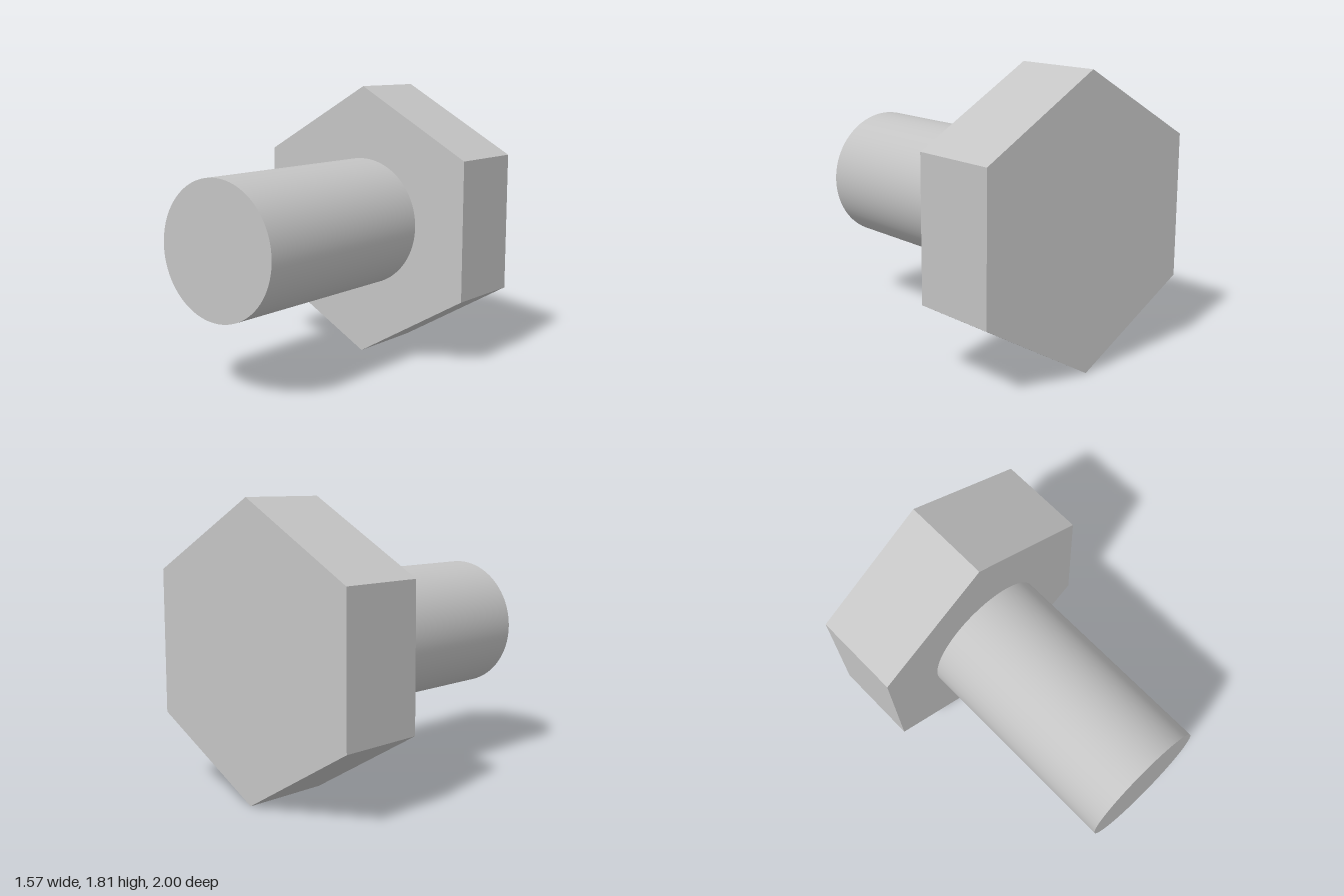
import * as THREE from 'three';

const HEAD_RADIUS = 0.907;   // centre to corner
const SHANK_RADIUS = 0.427;
const BACK = -1, SEAT = -0.43, TIP = 1;   // z positions along the bolt

export function createModel() {
  const steel = new THREE.MeshStandardMaterial({ color: 0xc4c4c4 });
  steel.name = 'steel grey';

  const bolt = new THREE.Group();
  bolt.name = 'hexBolt';

  // Prism or cylinder lying along z between two depths
  const addRod = (name, radius, sides, z0, z1, faceted) => {
    let geometry = new THREE.CylinderGeometry(radius, radius, z1 - z0, sides);
    geometry.rotateX(Math.PI / 2);
    if (faceted) {
      geometry = geometry.toNonIndexed();
      geometry.computeVertexNormals();
    }
    const mesh = new THREE.Mesh(geometry, steel);
    mesh.name = name;
    mesh.position.set(0, HEAD_RADIUS, (z0 + z1) / 2);
    bolt.add(mesh);
  };

  // Hexagonal head with a corner pointing up, and a smooth round shank
  addRod('head', HEAD_RADIUS, 6, BACK, SEAT, true);
  addRod('shank', SHANK_RADIUS, 96, SEAT, TIP, false);

  return bolt;
}
